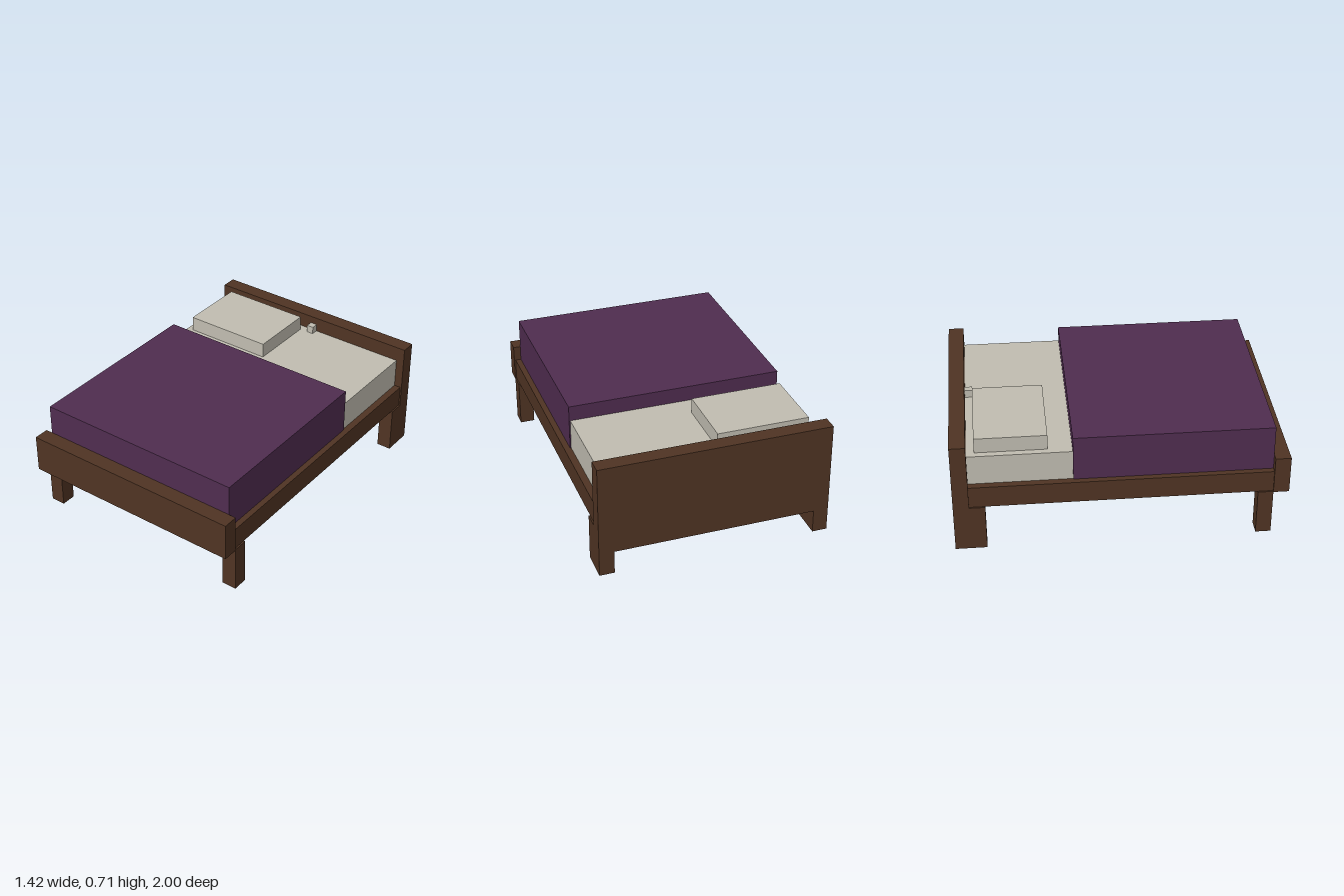
import * as THREE from 'three';

export function createModel() {
  const bed = new THREE.Group();
  bed.name = 'bed';

  const material = (name, color) => {
    const m = new THREE.MeshStandardMaterial({ color });
    m.name = name;
    return m;
  };
  const wood = material('dark wood', 0x503423);
  const linen = material('pale linen', 0xc2beb2);
  const purple = material('purple fabric', 0x502d50);

  // Box given by its low and high extent on each axis
  const box = (name, mat, [x0, x1], [y0, y1], [z0, z1]) => {
    const mesh = new THREE.Mesh(new THREE.BoxGeometry(x1 - x0, y1 - y0, z1 - z0), mat);
    mesh.position.set((x0 + x1) / 2, (y0 + y1) / 2, (z0 + z1) / 2);
    mesh.name = name;
    bed.add(mesh);
  };

  // Frame
  box('bedBase', wood, [-0.703, 0.703], [0.293, 0.43], [-0.905, 0.905]);
  box('footboard', wood, [-0.712, 0.712], [0.288, 0.525], [0.905, 1]);

  // Headboard with a cut-out between its two feet
  const outline = new THREE.Shape([
    [-0.712, 0], [-0.62, 0], [-0.62, 0.147], [0.62, 0.147],
    [0.62, 0], [0.712, 0], [0.712, 0.715], [-0.712, 0.715],
  ].map(([x, y]) => new THREE.Vector2(x, y)));
  const headboard = new THREE.Mesh(
    new THREE.ExtrudeGeometry(outline, { depth: 0.095, bevelEnabled: false }), wood);
  headboard.position.z = -1;
  headboard.name = 'headboard';
  bed.add(headboard);

  // Legs, mirrored left and right
  for (const [side, s] of [['left', 1], ['right', -1]]) {
    const x = s > 0 ? [0.62, 0.712] : [-0.712, -0.62];
    box(side + 'FrontLeg', wood, x, [0, 0.293], [0.812, 0.905]);
    box(side + 'BackLeg', wood, x, [0, 0.293], [-0.905, -0.81]);
  }

  // Bedding
  box('mattress', linen, [-0.66, 0.66], [0.43, 0.62], [-0.905, 0.9]);
  box('blanket', purple, [-0.667, 0.667], [0.43, 0.715], [-0.286, 0.905]);
  box('pillow', linen, [-0.62, -0.052], [0.62, 0.715], [-0.858, -0.43]);
  box('smallBlock', linen, [0, 0.045], [0.62, 0.668], [-0.905, -0.86]);

  return bed;
}
